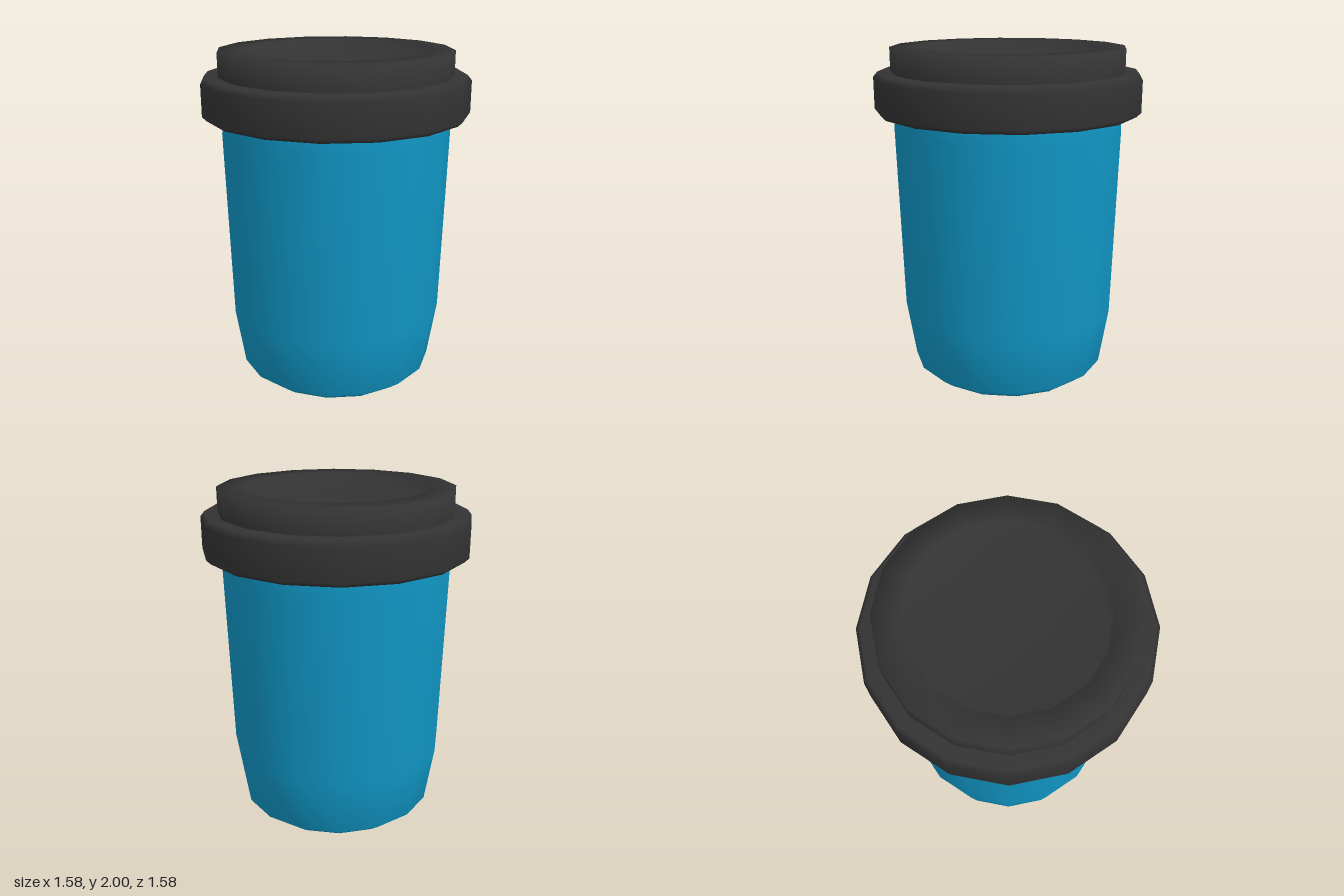
import * as THREE from 'three';

const SIDES = 16;

// Turned part from a profile of [radius, height] pairs, listed from bottom/outside to top/inside
function turned(name, profile, material) {
  const points = profile.map(([r, y]) => new THREE.Vector2(r, y));
  const mesh = new THREE.Mesh(new THREE.LatheGeometry(points, SIDES), material);
  mesh.name = name;
  return mesh;
}

export function createModel() {
  const cupBlue = new THREE.MeshStandardMaterial({ name: 'cupBlue', color: 0x1096c4 });
  const lidBlack = new THREE.MeshStandardMaterial({ name: 'lidBlack', color: 0x333333 });

  const model = new THREE.Group();
  model.name = 'lidded cup';

  // Tapered cup with a chamfered foot
  model.add(turned('cupBody', [
    [0, 0], [0.52, 0], [0.595, 0.06], [0.65, 0.41], [0.68, 1.54], [0.67, 1.64],
  ], cupBlue));

  // Wide lid band with small chamfers
  model.add(turned('lidBand', [
    [0.64, 1.62], [0.765, 1.62], [0.79, 1.645], [0.79, 1.83], [0.765, 1.86], [0.66, 1.86],
  ], lidBlack));

  // Raised rim and sunken drinking surface
  model.add(turned('lidRim', [
    [0.69, 1.85], [0.69, 2], [0.535, 2], [0.525, 1.9], [0, 1.9],
  ], lidBlack));

  return model;
}
